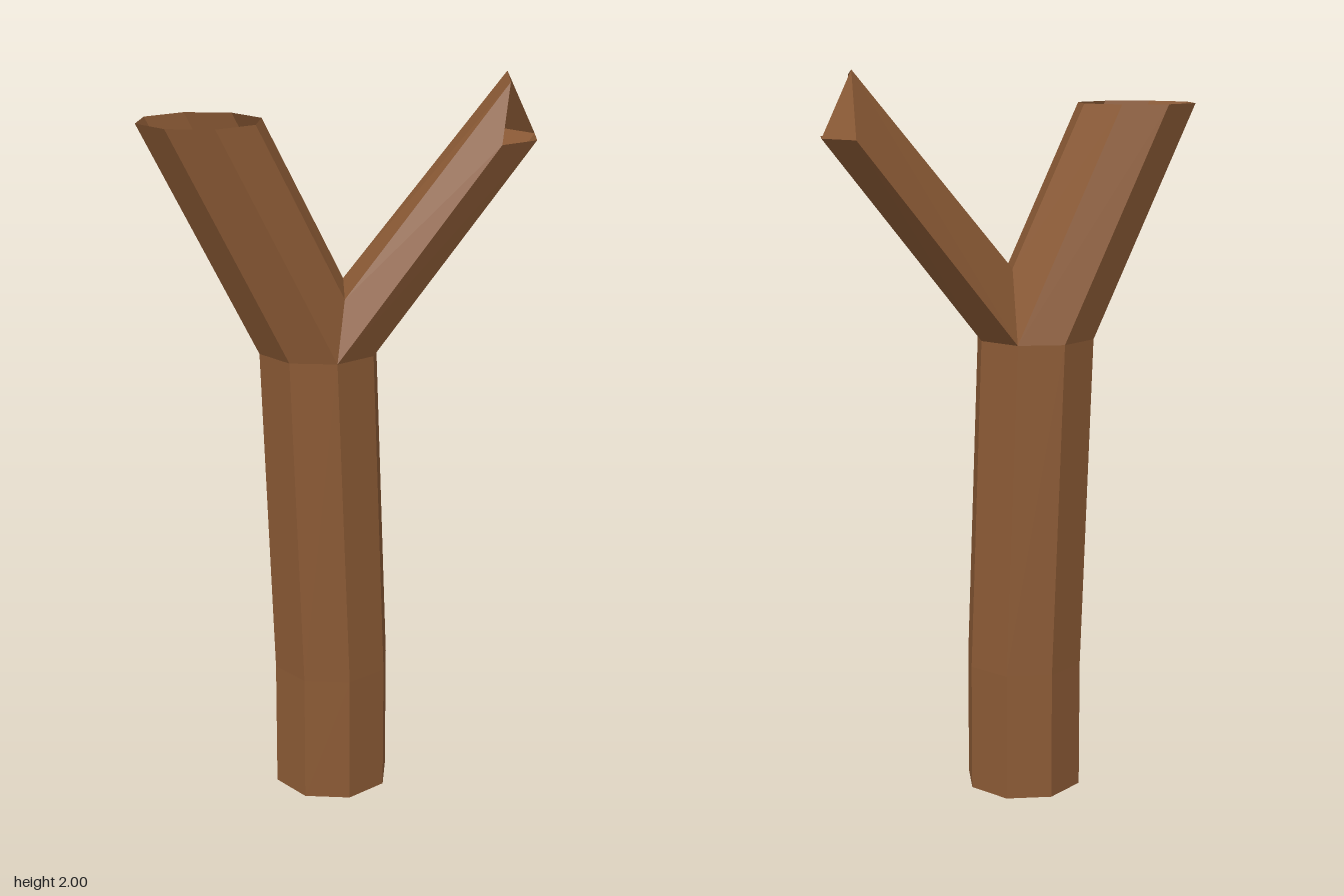
import * as THREE from 'three';

const R = 0.165, D = 0.117; // octagon radius and its diagonal offset
const material = new THREE.MeshStandardMaterial({ color: 0x8b5a35, flatShading: true, side: THREE.DoubleSide });

// Horizontal octagon, starting at +x and turning towards +z
function ring(cx, y) {
  return Array.from({ length: 8 }, (_, i) => {
    const a = i * Math.PI / 4;
    return [cx + R * Math.cos(a), y, R * Math.sin(a)];
  });
}

// Open tube through matching closed loops, plus optional extra triangles
function loft(name, loops, extra = []) {
  const pos = [];
  for (let k = 0; k + 1 < loops.length; k++) {
    const low = loops[k], top = loops[k + 1], n = low.length;
    for (let i = 0; i < n; i++) {
      const j = (i + 1) % n;
      pos.push(...low[j], ...low[i], ...top[i], ...low[j], ...top[i], ...top[j]);
    }
  }
  extra.forEach(p => pos.push(...p));
  const geometry = new THREE.BufferGeometry();
  geometry.setAttribute('position', new THREE.Float32BufferAttribute(pos, 3));
  geometry.computeVertexNormals();
  const mesh = new THREE.Mesh(geometry, material);
  mesh.name = name;
  return mesh;
}

export function createModel() {
  const group = new THREE.Group();
  group.name = 'forkedBranch';

  // Trunk: straight foot, then a slight lean
  const fork = ring(-0.07, 1.28);
  group.add(loft('trunk', [ring(-0.035, 0), ring(-0.035, 0.36), fork]));

  // Thick limb, its inner side starting in the crotch of the fork
  const crotch = [0, 1.47, 0], crotchFront = [-0.034, 1.44, D];
  const limbBase = fork.slice();
  limbBase[0] = crotch;
  limbBase[1] = crotchFront;
  group.add(loft('thickLimb', [limbBase, ring(-0.385, 1.905)]));

  // Thin limb, with a slanted open end
  const base = [fork[0], fork[1], fork[2], crotchFront, crotch, fork[7]];
  const tip = [[0.545, 1.83, 0], [0.5, 1.83, D], [0.38, 1.83, R], [0.42, 1.985, D], [0.46, 2, 0], [0.5, 1.83, -D]];
  // Splinter closing the back corner of the end
  group.add(loft('thinLimb', [base, tip], [tip[4], tip[0], tip[5]]));
  return group;
}
